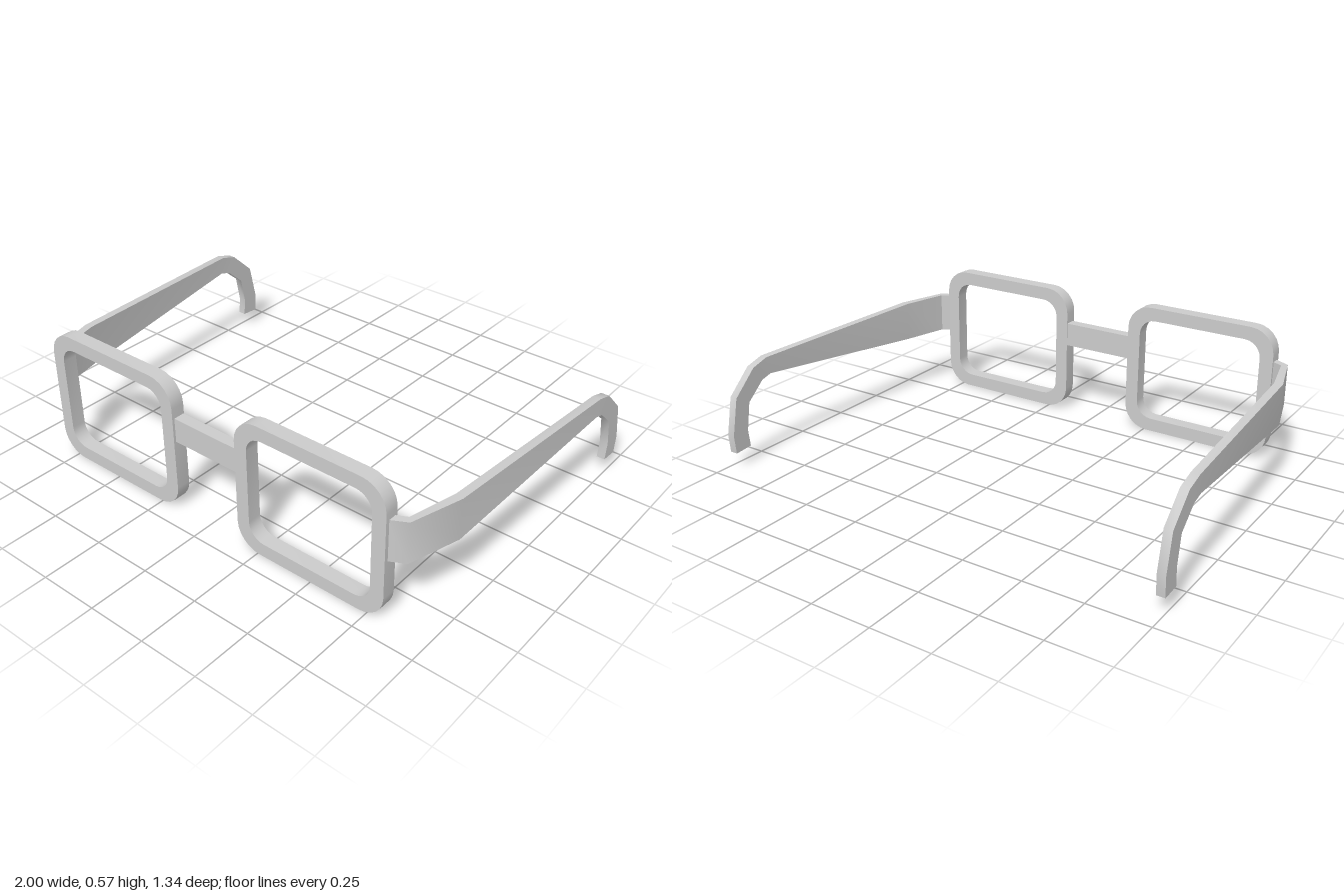
import * as THREE from 'three';
import { toCreasedNormals } from 'three/addons/utils/BufferGeometryUtils.js';

const material = new THREE.MeshStandardMaterial({ color: 0xcccccc });

// Rounded rectangle centred on the origin, as a shape or a hole path
function roundedRect(target, w, h, r) {
  const x = w / 2 - r, y = h / 2 - r;
  target.absarc(x, y, r, 0, Math.PI / 2);
  target.absarc(-x, y, r, Math.PI / 2, Math.PI);
  target.absarc(-x, -y, r, Math.PI, Math.PI * 1.5);
  target.absarc(x, -y, r, Math.PI * 1.5, Math.PI * 2);
  target.closePath();
  return target;
}

function rimGeometry() {
  const shape = roundedRect(new THREE.Shape(), 0.665, 0.568, 0.105);
  shape.holes.push(roundedRect(new THREE.Path(), 0.551, 0.454, 0.07));
  const geometry = new THREE.ExtrudeGeometry(shape, { depth: 0.06, bevelEnabled: false, curveSegments: 3 });
  return toCreasedNormals(geometry, 0.8);
}

// Arm sections from hinge to ear tip:
// outer x, inner x, top z, top y, bottom z, bottom y, inner z offset
const armSections = [
  [0.81, 0.81, 0.66, 0.434, 0.66, 0.261, -0.033],
  [0.88, 0.86, 0.623, 0.434, 0.623, 0.261, -0.022],
  [0.943, 0.909, 0.41, 0.434, 0.41, 0.261, -0.008],
  [1, 0.966, -0.452, 0.421, -0.437, 0.345, -0.002],
  [1, 0.966, -0.53, 0.398, -0.488, 0.331, 0],
  [1, 0.966, -0.636, 0.297, -0.57, 0.258, 0],
  [1, 0.966, -0.67, 0.14, -0.592, 0.14, 0],
  [1, 0.966, -0.664, 0.062, -0.585, 0.068, 0],
];

function armGeometry(side) {
  const positions = [], index = [];
  for (const [xo, xi, zt, yt, zb, yb, dz] of armSections) {
    positions.push(side * xo, yt, zt, side * xo, yb, zb);
    positions.push(side * xi, yb, zb + dz, side * xi, yt, zt + dz);
  }
  // Reverse the corner order on the mirrored side
  const quad = (a, b, c, d) => {
    if (side > 0) index.push(a, b, c, a, c, d);
    else index.push(a, c, b, a, d, c);
  };
  const last = (armSections.length - 1) * 4;
  for (let i = 0; i < last; i += 4) {
    for (let k = 0; k < 4; k++) {
      const n = (k + 1) % 4;
      quad(i + k, i + n, i + 4 + n, i + 4 + k);
    }
  }
  quad(0, 3, 2, 1);
  quad(last, last + 1, last + 2, last + 3);
  const geometry = new THREE.BufferGeometry();
  geometry.setAttribute('position', new THREE.Float32BufferAttribute(positions, 3));
  geometry.setIndex(index);
  return toCreasedNormals(geometry, 0.8);
}

export function createModel() {
  const group = new THREE.Group();
  group.name = 'glasses';
  const add = (name, geometry, x = 0, y = 0, z = 0) => {
    const mesh = new THREE.Mesh(geometry, material);
    mesh.name = name;
    mesh.position.set(x, y, z);
    group.add(mesh);
  };

  // Square rims and folding arms on both sides
  for (const side of [1, -1]) {
    const label = side > 0 ? 'left' : 'right';
    add(label + 'Rim', rimGeometry(), side * 0.488, 0.284, 0.611);
    add(label + 'Arm', armGeometry(side));
  }

  // Nose bridge
  add('bridge', new THREE.BoxGeometry(0.325, 0.103, 0.047), 0, 0.367, 0.637);
  return group;
}
